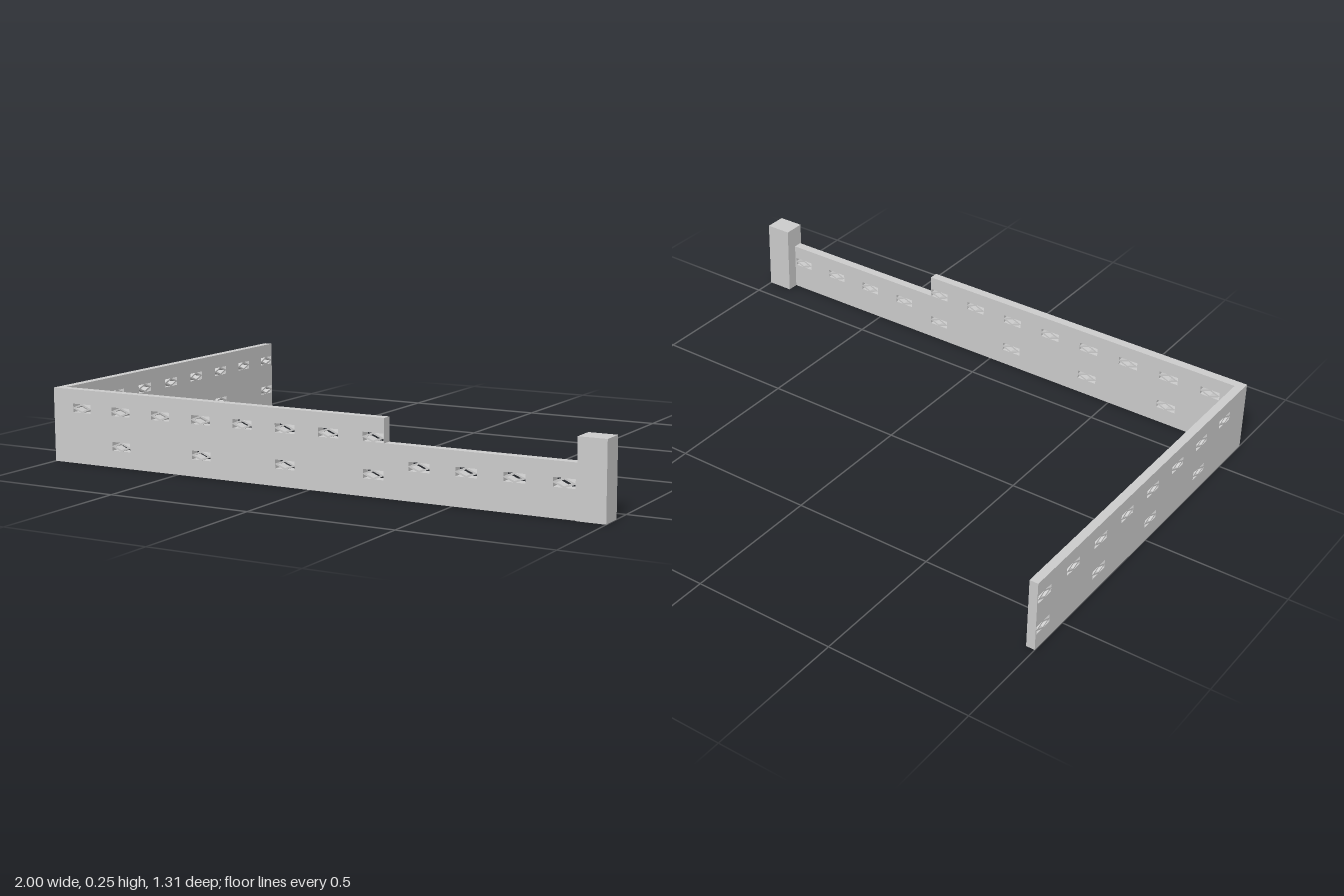
import * as THREE from 'three';

const material = new THREE.MeshStandardMaterial({ color: 0xcccccc, flatShading: true });
const HALF_W = 0.036, HALF_H = 0.0145;

const path = pts => new THREE.Path(pts.map(p => new THREE.Vector2(p[0], p[1])));

// Pierced vent: a diamond opening and four corner triangles leave a diamond-shaped rim.
function addVent(shape, u, y) {
  const a = HALF_W * 0.68, b = HALF_H * 0.68, k = 0.9;
  shape.holes.push(path([[u - a, y], [u, y - b], [u + a, y], [u, y + b]]));
  for (const sx of [-1, 1]) for (const sy of [-1, 1]) {
    const cx = u + sx * HALF_W, cy = y + sy * HALF_H;
    shape.holes.push(path([[cx, cy], [cx - sx * HALF_W * k, cy], [cx, cy - sy * HALF_H * k]]));
  }
}

// Wall panel from an outline and a list of vent centres
function wallGeometry(outline, vents, depth) {
  const shape = new THREE.Shape(outline.map(p => new THREE.Vector2(p[0], p[1])));
  vents.forEach(([u, y]) => addVent(shape, u, y));
  return new THREE.ExtrudeGeometry(shape, { depth, bevelEnabled: false });
}

// Eight vents in the upper row, every second one repeated in the lower row
function ventRows(start, step) {
  const vents = [];
  for (let i = 0; i < 8; i++) {
    vents.push([start + i * step, 0.187]);
    if (i % 2) vents.push([start + i * step, 0.071]);
  }
  return vents;
}

export function createModel() {
  const group = new THREE.Group();
  const add = (name, geometry, x, y, z) => {
    const mesh = new THREE.Mesh(geometry, material);
    mesh.name = name;
    mesh.position.set(x, y, z);
    group.add(mesh);
  };

  // Front wall, stepping down to a lower section with a single vent row
  const frontVents = ventRows(-0.884, 0.159);
  for (let i = 0; i < 4; i++) frontVents.push([0.388 + i * 0.159, 0.108]);
  add('frontWall', wallGeometry(
    [[-1, 0], [0.92, 0], [0.92, 0.172], [0.268, 0.172], [0.268, 0.25], [-1, 0.25]],
    frontVents, 0.032), 0, 0, 0.616);

  // Side wall running back from the corner
  const side = wallGeometry([[-0.653, 0], [0.616, 0], [0.616, 0.25], [-0.653, 0.25]],
    ventRows(0.5, -0.159), 0.03);
  side.rotateY(-Math.PI / 2);
  add('sideWall', side, -0.97, 0, 0);

  // End pillar
  add('endPillar', new THREE.BoxGeometry(0.093, 0.25, 0.078), 0.9535, 0.125, 0.614);
  return group;
}
